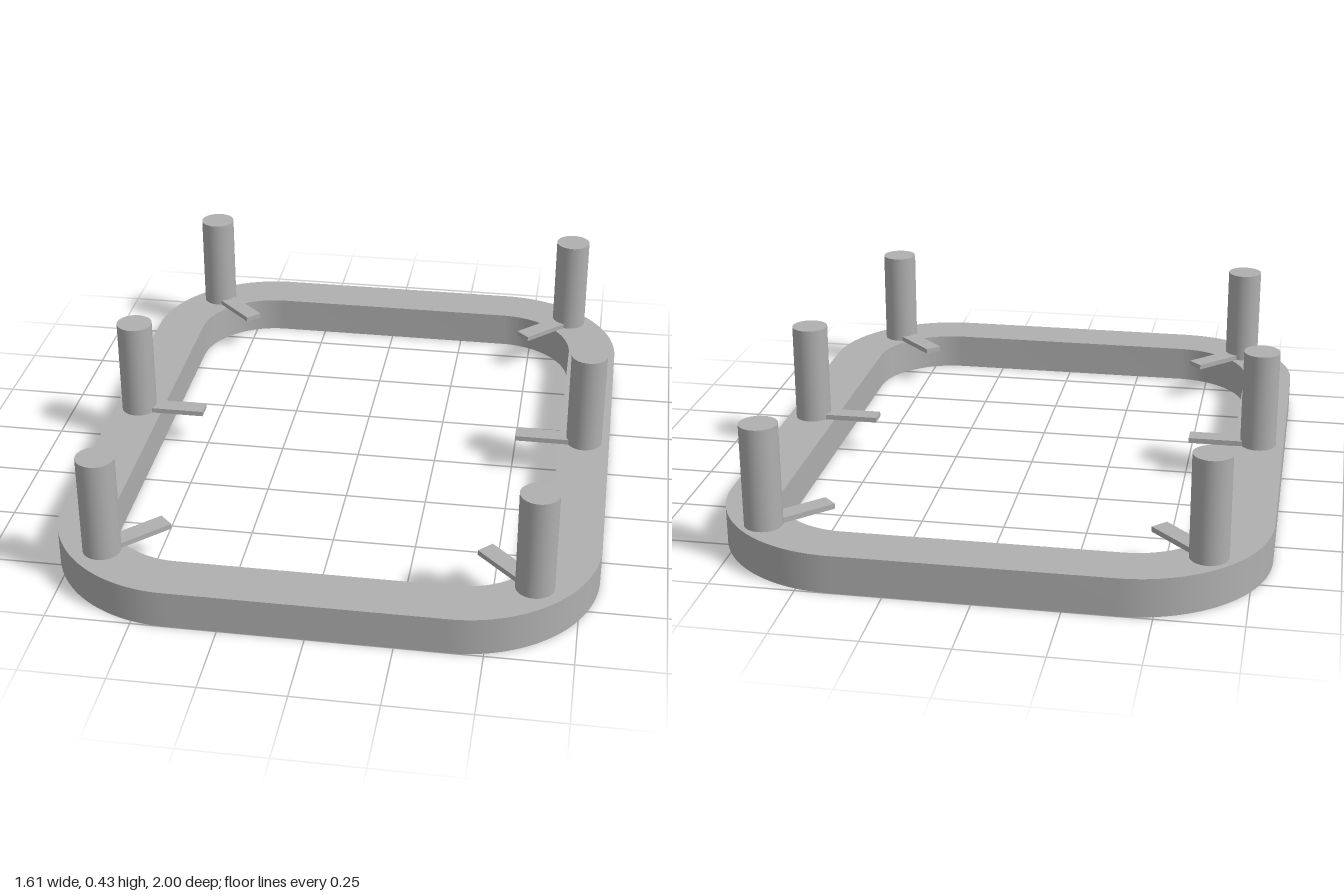
import * as THREE from 'three';
import { toCreasedNormals } from 'three/addons/utils/BufferGeometryUtils.js';

const FRAME_H = 0.115, PEG_TOP = 0.425, PEG_R = 0.056;
const TAB = { length: 0.217, height: 0.016, width: 0.056 };

// Rounded rectangle outline, centred on the origin
function roundedRect(path, hx, hz, r) {
  path.absarc(hx - r, hz - r, r, 0, Math.PI / 2);
  path.absarc(-hx + r, hz - r, r, Math.PI / 2, Math.PI);
  path.absarc(-hx + r, -hz + r, r, Math.PI, Math.PI * 1.5);
  path.absarc(hx - r, -hz + r, r, Math.PI * 1.5, Math.PI * 2);
  path.closePath();
  return path;
}

export function createModel() {
  const model = new THREE.Group();
  model.name = 'peggedFrame';
  const grey = new THREE.MeshStandardMaterial({ color: 0xb0b0b0 });
  grey.name = 'grey';

  // Base frame
  const outline = roundedRect(new THREE.Shape(), 0.805, 1, 0.405);
  outline.holes.push(roundedRect(new THREE.Path(), 0.648, 0.842, 0.248));
  const frameGeo = new THREE.ExtrudeGeometry(outline, {
    depth: FRAME_H, bevelEnabled: false, curveSegments: 24,
  });
  frameGeo.rotateX(-Math.PI / 2);
  const frame = new THREE.Mesh(toCreasedNormals(frameGeo, 0.5), grey);
  frame.name = 'frame';
  model.add(frame);

  // Peg with a thin tab that points along the post's local +x
  const pegGeo = new THREE.CylinderGeometry(PEG_R, PEG_R, PEG_TOP - FRAME_H, 40);
  pegGeo.translate(0, (PEG_TOP - FRAME_H) / 2, 0);
  const tabGeo = new THREE.BoxGeometry(TAB.length, TAB.height, TAB.width);
  tabGeo.translate(TAB.length / 2, TAB.height / 2, 0);

  function addPost(name, x, z, angle) {
    const post = new THREE.Group();
    post.name = name;
    const peg = new THREE.Mesh(pegGeo, grey);
    peg.name = 'peg';
    const tab = new THREE.Mesh(tabGeo, grey);
    tab.name = 'tab';
    post.add(peg, tab);
    post.position.set(x, FRAME_H, z);
    post.rotation.y = angle;
    model.add(post);
  }

  // Three posts per side, tabs pointing inward
  const rows = [
    ['back', 0.635, -0.83, -Math.PI / 4],
    ['middle', 0.725, -0.002, 0],
    ['front', 0.624, 0.814, Math.PI / 4],
  ];
  for (const [row, x, z, a] of rows) {
    addPost(row + 'RightPost', -x, z, a);
    addPost(row + 'LeftPost', x, z, Math.PI - a);
  }
  return model;
}
